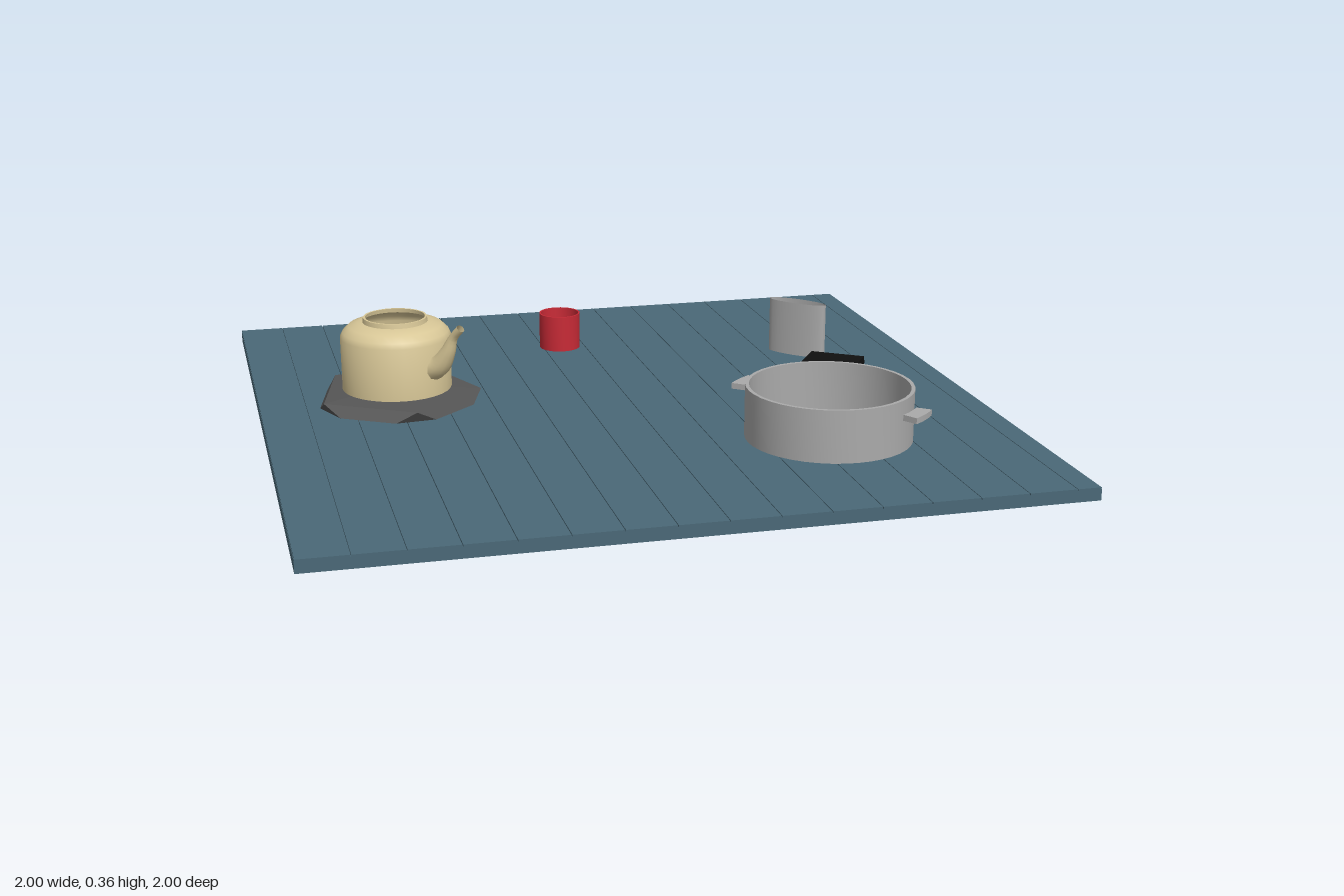
import * as THREE from 'three';
import { toCreasedNormals } from 'three/addons/utils/BufferGeometryUtils.js';
import { ConvexGeometry } from 'three/addons/geometries/ConvexGeometry.js';

const V2 = (x, y) => new THREE.Vector2(x, y);
const V3 = (x, y, z) => new THREE.Vector3(x, y, z);

const paint = (color, side = THREE.FrontSide) => new THREE.MeshStandardMaterial({ color, side });
const wood = paint(0x4a6877);
const stone = paint(0x565656);
const cream = paint(0xd8c797, THREE.DoubleSide);
const red = paint(0xc82a36, THREE.DoubleSide);
const steel = paint(0xaaaaaa, THREE.DoubleSide);
const black = paint(0x101010);

function add(parent, name, geometry, material, x = 0, y = 0, z = 0) {
  const mesh = new THREE.Mesh(geometry, material);
  mesh.name = name;
  mesh.position.set(x, y, z);
  parent.add(mesh);
  return mesh;
}

function addGroup(parent, name, x, z) {
  const group = new THREE.Group();
  group.name = name;
  group.position.set(x, 0, z);
  parent.add(group);
  return group;
}

// Revolved profile given as [radius, height] pairs
function turned(profile, sides) {
  const g = new THREE.LatheGeometry(profile.map(([r, y]) => V2(r, y)), sides);
  return toCreasedNormals(g, 0.5);
}

// Tube whose radius changes along its path
function taperedTube(points, radiusAt, steps, sides) {
  const curve = new THREE.CatmullRomCurve3(points);
  const g = new THREE.TubeGeometry(curve, steps, 1, sides);
  const pos = g.attributes.position;
  const p = V3(0, 0, 0);
  for (let i = 0; i < pos.count; i++) {
    const t = Math.floor(i / (sides + 1)) / steps;
    const c = curve.getPointAt(t);
    p.fromBufferAttribute(pos, i).sub(c).multiplyScalar(radiusAt(t)).add(c);
    pos.setXYZ(i, p.x, p.y, p.z);
  }
  g.computeVertexNormals();
  return g;
}

function buildFloor(model) {
  const floor = addGroup(model, 'floor', 0, 0);
  add(floor, 'floorBase', new THREE.BoxGeometry(2, 0.03, 2), wood, 0, 0.08, 0);
  const pitch = 0.129;
  for (let x = -1; x < 0.99; x += pitch) {
    const width = Math.min(pitch, 1 - x);
    add(floor, 'plank', new THREE.BoxGeometry(width - 0.002, 0.006, 2), wood, x + width / 2, 0.097, 0);
  }
}

// Squashed twenty-sided stone, set through the floor
function buildStone(model) {
  const points = [V3(0, 0, 0), V3(0, 0.145, 0)];
  for (let i = 0; i < 5; i++) {
    const a = (i / 5) * Math.PI * 2 + 0.1;
    points.push(V3(Math.sin(a) * 0.238, 0.131, Math.cos(a) * 0.238));
    points.push(V3(-Math.sin(a) * 0.238, 0.055, -Math.cos(a) * 0.238));
  }
  add(model, 'stone', new ConvexGeometry(points), stone, -0.61, 0, -0.15);
}

function buildKettle(model) {
  const kettle = addGroup(model, 'kettle', -0.61, -0.15);
  add(kettle, 'kettleBody', turned([
    [0.155, 0.14], [0.157, 0.29], [0.15, 0.305], [0.132, 0.322], [0.105, 0.33],
    [0.092, 0.332], [0.09, 0.345], [0.084, 0.345],
  ], 32), cream);

  // Curved spout, fat at the body and narrow at the tip
  const along = (d, y) => V3(d * 0.62, y, d * 0.78);
  const path = [along(0.125, 0.215), along(0.165, 0.23), along(0.2, 0.275), along(0.222, 0.32), along(0.25, 0.35)];
  add(kettle, 'spout', taperedTube(path, (t) => 0.04 - 0.028 * Math.min(1, t * 1.25), 16, 10), cream);
}

function buildMug(model) {
  const mug = addGroup(model, 'mug', -0.045, -0.575);
  add(mug, 'mugBody', turned([
    [0, 0.101], [0.062, 0.101], [0.063, 0.21], [0.058, 0.21], [0.057, 0.108], [0, 0.108],
  ], 24), red);

  // Square handle loop
  const shape = new THREE.Shape([V2(0, 0.122), V2(0.034, 0.128), V2(0.036, 0.19), V2(0, 0.195)]);
  shape.holes.push(new THREE.Path([V2(0, 0.135), V2(0, 0.182), V2(0.024, 0.178), V2(0.024, 0.14)]));
  const handle = new THREE.ExtrudeGeometry(shape, { depth: 0.02, bevelEnabled: false });
  handle.translate(0.06, 0, -0.01).rotateY(0.87);
  add(mug, 'mugHandle', handle, red);
}

function buildPan(model) {
  const pan = addGroup(model, 'pan', 0.46, 0.49);
  add(pan, 'panWall', turned([
    [0.215, 0.112], [0.225, 0.112], [0.225, 0.255], [0.215, 0.255], [0.215, 0.112],
  ], 40), steel);

  // Curved grips on opposite sides
  for (const turn of [0, Math.PI]) {
    const mid = 2.305 + turn;
    const shape = new THREE.Shape();
    shape.absarc(0, 0, 0.28, mid - 0.16, mid + 0.16, false);
    shape.absarc(0, 0, 0.238, mid + 0.16, mid - 0.16, true);
    const grip = new THREE.ExtrudeGeometry(shape, { depth: 0.016, bevelEnabled: false, curveSegments: 8 });
    grip.rotateX(-Math.PI / 2);
    add(pan, 'panGrip', grip, steel, 0, 0.208, 0);
  }
}

// Flattened open sleeve standing on edge
function buildSleeve(model) {
  const g = new THREE.CylinderGeometry(1, 1, 0.165, 20, 1, true);
  g.scale(0.095, 1, 0.026).rotateY(-Math.PI / 4);
  add(model, 'sleeve', g, steel, 0.65, 0.182, -0.33);
}

// Book with a rounded spine and a hollowed opposite edge
function buildBook(model) {
  const shape = new THREE.Shape();
  shape.moveTo(-0.068, 0);
  shape.lineTo(0.078, 0);
  shape.quadraticCurveTo(0.045, 0.022, 0.078, 0.045);
  shape.lineTo(-0.068, 0.045);
  shape.quadraticCurveTo(-0.088, 0.022, -0.068, 0);
  const g = new THREE.ExtrudeGeometry(shape, { depth: 0.16, bevelEnabled: false });
  g.translate(0, 0, -0.08);
  add(model, 'book', g, black, 0.677, 0.101, -0.085).rotation.y = -2.165;
}

export function createModel() {
  const model = new THREE.Group();
  model.name = 'campFloor';
  [buildFloor, buildStone, buildKettle, buildMug, buildPan, buildSleeve, buildBook].forEach((build) => build(model));
  return model;
}
